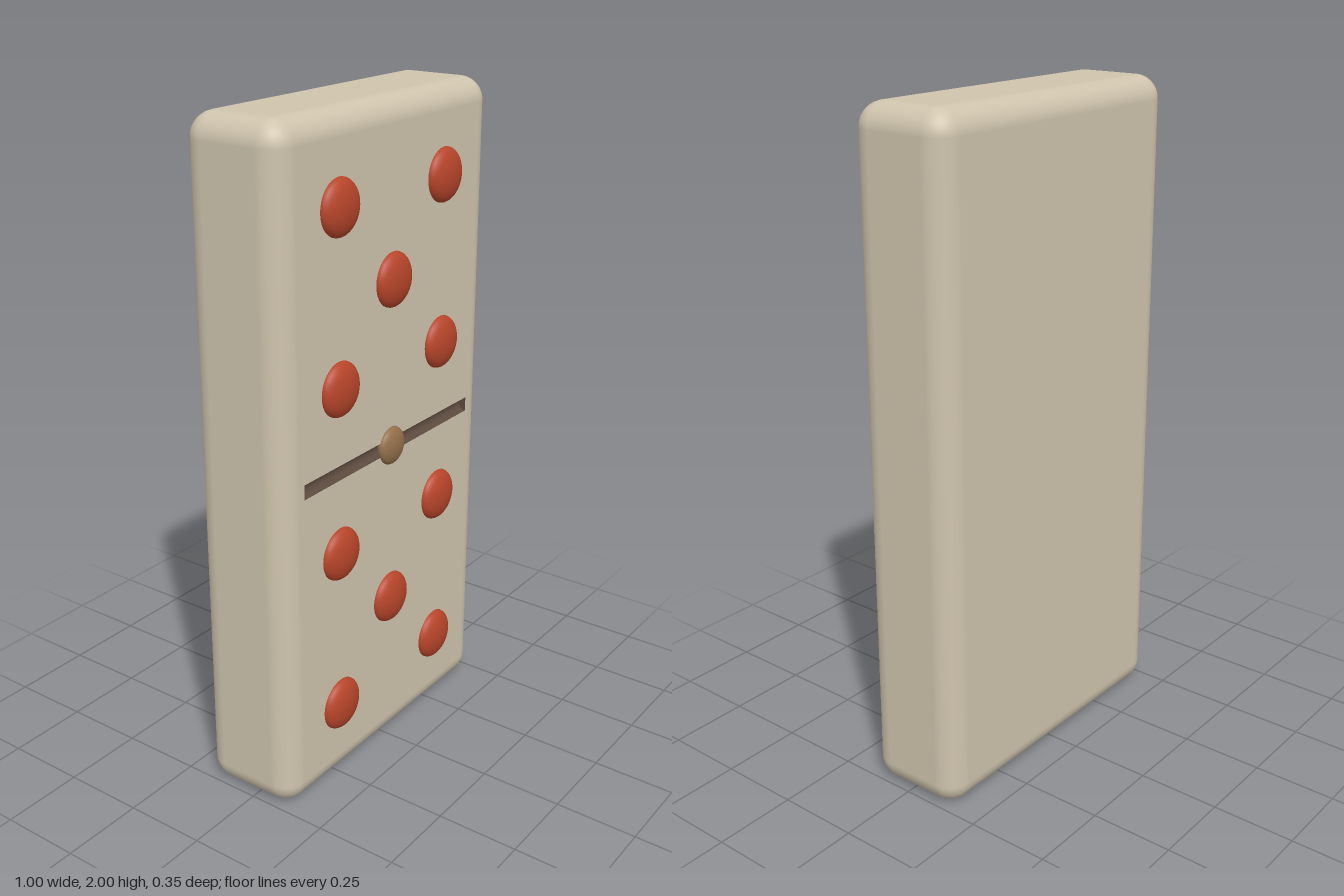
import * as THREE from 'three';

const W = 0.5, H = 1, R = 0.07;        // half width, half height, edge radius
const BACK = -0.177, FRONT = 0.14;
const GROOVE = 0.41, GROOVE_R = 0.022; // half length and radius of the divider

// Rounded sides: rings of a rounded rectangle swept from the back to the front face
function sidesGeometry() {
  const n = 8, per = 4 * (n + 1), pos = [], nor = [], idx = [];
  const signs = [[1, 1], [-1, 1], [-1, -1], [1, -1]];
  const rings = [];
  for (let i = 0; i <= n; i++) rings.push([-Math.PI / 2 * (1 - i / n), BACK + R]);
  for (let i = 0; i <= n; i++) rings.push([Math.PI / 2 * i / n, FRONT - R]);
  for (const [t, z] of rings) {
    signs.forEach(([sx, sy], q) => {
      for (let j = 0; j <= n; j++) {
        const a = (q + j / n) * Math.PI / 2;
        const nx = Math.cos(a) * Math.cos(t), ny = Math.sin(a) * Math.cos(t), nz = Math.sin(t);
        pos.push(sx * (W - R) + R * nx, H + sy * (H - R) + R * ny, z + R * nz);
        nor.push(nx, ny, nz);
      }
    });
  }
  for (let i = 0; i < rings.length - 1; i++) {
    for (let j = 0; j < per; j++) {
      const a = i * per + j, b = i * per + (j + 1) % per;
      idx.push(a, b, b + per, a, b + per, a + per);
    }
  }
  const g = new THREE.BufferGeometry();
  g.setAttribute('position', new THREE.Float32BufferAttribute(pos, 3));
  g.setAttribute('normal', new THREE.Float32BufferAttribute(nor, 3));
  g.setIndex(idx);
  return g;
}

// Corner points of a rectangle centred on the tile
function rect(w, h) {
  return [[-w, -h], [w, -h], [w, h], [-w, h]].map(([x, y]) => new THREE.Vector2(x, H + y));
}

export function createModel() {
  const group = new THREE.Group();
  const ivory = new THREE.MeshStandardMaterial({ color: 0xcfc4ad });
  const red = new THREE.MeshStandardMaterial({ color: 0xb8452a });
  const brass = new THREE.MeshStandardMaterial({ color: 0x94704c });
  const dark = new THREE.MeshStandardMaterial({ color: 0x5c4a3e, side: THREE.DoubleSide });

  function add(name, geometry, material, x = 0, y = 0, z = 0, parent = group) {
    const mesh = new THREE.Mesh(geometry, material);
    mesh.name = name;
    mesh.position.set(x, y, z);
    parent.add(mesh);
    return mesh;
  }

  // Tile body, with a slot cut in the front face
  const body = new THREE.Group();
  body.name = 'tileBody';
  group.add(body);
  add('roundedSides', sidesGeometry(), ivory, 0, 0, 0, body);
  const face = new THREE.Shape(rect(W - R, H - R));
  face.holes.push(new THREE.Path(rect(GROOVE, GROOVE_R)));
  add('frontFace', new THREE.ShapeGeometry(face), ivory, 0, 0, FRONT, body);
  const back = add('backFace', new THREE.PlaneGeometry(2 * (W - R), 2 * (H - R)), ivory, 0, H, BACK, body);
  back.rotation.y = Math.PI;

  // Half-round divider groove sunk behind the slot
  const trough = new THREE.CylinderGeometry(GROOVE_R, GROOVE_R, 2 * GROOVE, 16, 1, false, Math.PI / 2, Math.PI);
  trough.rotateZ(Math.PI / 2);
  add('dividerGroove', trough, dark, 0, H, FRONT);

  // Centre pin and pips are flattened domes
  const dome = (r, d) => new THREE.SphereGeometry(1, 32, 20).rotateX(Math.PI / 2).scale(r, r, d);
  add('centrePin', dome(0.058, 0.026), brass, 0, H, FRONT);

  const pip = dome(0.08, 0.036);
  for (const y of [0.5, 1.5]) {
    add('pip', pip, red, 0, y, FRONT);
    for (const sx of [-1, 1]) {
      for (const sy of [-1, 1]) add('pip', pip, red, sx * 0.25, y + sy * 0.25, FRONT);
    }
  }
  return group;
}
